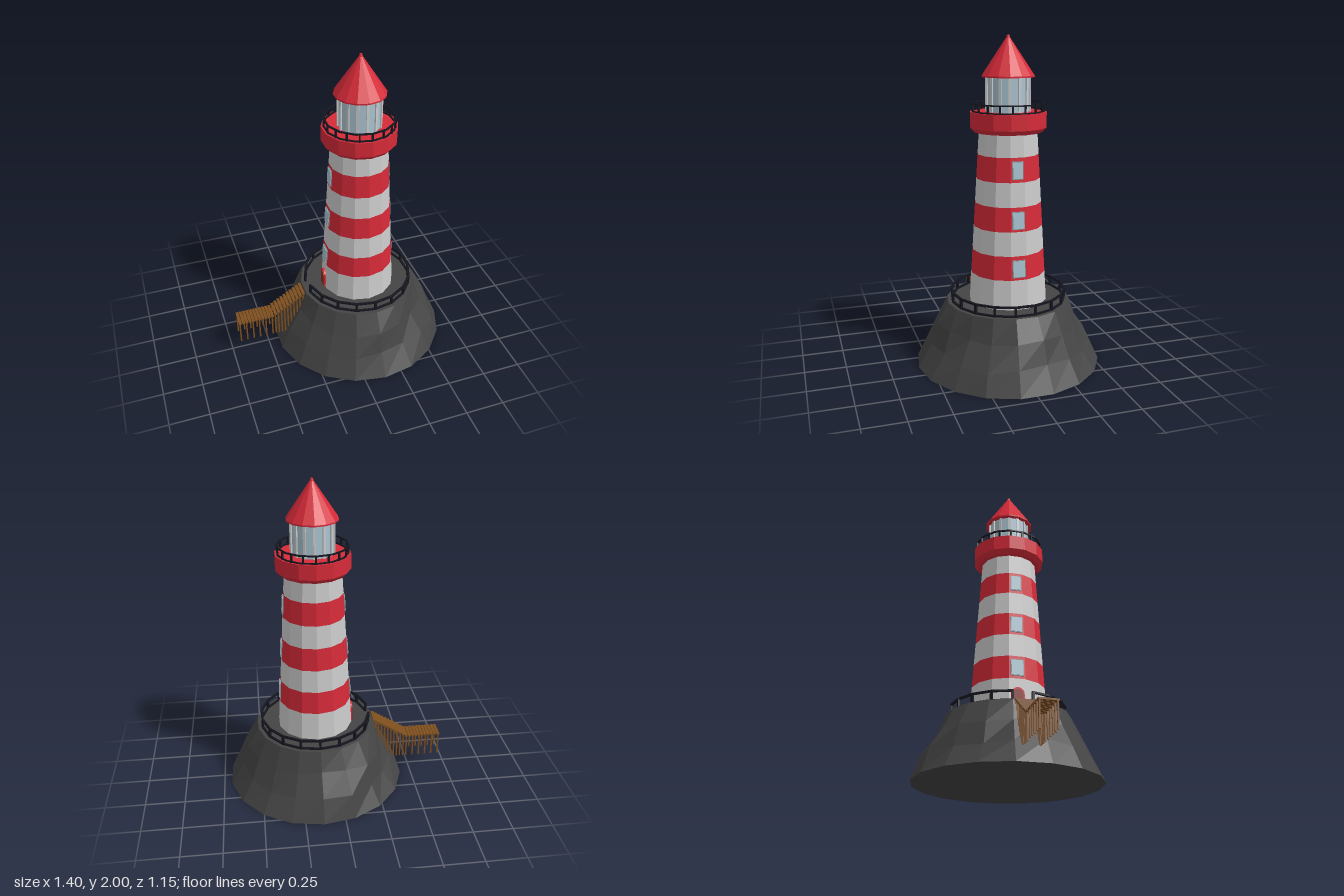
import * as THREE from 'three';

const mat = (color) => new THREE.MeshStandardMaterial({ color, flatShading: true });

export function createModel() {
  const model = new THREE.Group();
  const M = {
    grey: mat(0xcccccc), red: mat(0xd62a38), rock: mat(0x444444), wood: mat(0x80501f),
    rail: mat(0x15151f), glass: mat(0xa9c4d2), frame: mat(0x8b979e), door: mat(0x8a2f22),
  };
  const add = (parent, name, geo, material, x = 0, y = 0, z = 0) => {
    const m = new THREE.Mesh(geo, material);
    m.name = name;
    m.position.set(x, y, z);
    parent.add(m);
    return m;
  };
  const box = (w, h, d) => new THREE.BoxGeometry(w, h, d);
  const group = (name, parent) => {
    const g = new THREE.Group();
    g.name = name;
    parent.add(g);
    return g;
  };

  // Everything but the jetty stands around the tower axis
  const island = group('lighthouse', model);
  island.position.x = 0.135;

  // Rock: an 18-sided cone whose middle rings are roughened
  const rockGeo = new THREE.CylinderGeometry(0.38, 0.573, 0.4, 18, 3);
  const p = rockGeo.attributes.position;
  for (let i = 0; i < p.count; i++) {
    const y = p.getY(i);
    if (Math.abs(y) > 0.19) continue;
    const a = Math.atan2(p.getX(i), p.getZ(i));
    const upper = y > 0;
    const k = 1 + 0.035 * Math.sin(3 * a + (upper ? 2.6 : 4.2)) + 0.02 * Math.sin(5 * a + (upper ? 1 : 3));
    p.setXYZ(i, p.getX(i) * k * 0.985, y + 0.014 * Math.sin(4 * a + 1), p.getZ(i) * k * 0.985);
  }
  add(island, 'rock', rockGeo, M.rock, 0, 0.2, 0);

  // Tapering tower of seven stripes
  const radiusAt = (y) => 0.24 - (y - 0.4) * 0.061;
  const tower = group('tower', island);
  for (let i = 0; i < 7; i++) {
    const y0 = i ? 0.435 + i * 0.1457 : 0.39;
    const y1 = 0.435 + (i + 1) * 0.1457;
    add(tower, i % 2 ? 'redStripe' : 'greyStripe',
      new THREE.CylinderGeometry(radiusAt(y1), radiusAt(y0), y1 - y0, 14, 1, true),
      i % 2 ? M.red : M.grey, 0, (y0 + y1) / 2, 0);
  }

  // Gallery with a bevelled lower edge
  const profile = (pts) => pts.map(([r, y]) => new THREE.Vector2(r, y));
  add(island, 'gallery', new THREE.LatheGeometry(
    profile([[0, 1.44], [0.205, 1.44], [0.23, 1.467], [0.23, 1.56], [0, 1.56]]), 14), M.red);

  // Railing of posts joined by straight bars; open leaves a gap on the -x side
  function railing(name, r, y, h, t, sides, open) {
    const g = group(name, island);
    const at = (i, n) => {
      const a = (i / n) * Math.PI * 2;
      return [Math.sin(a) * r, Math.cos(a) * r, a];
    };
    for (let i = 0; i < 18; i++) {
      const [x, z, a] = at(i, 18);
      add(g, 'post', box(t, h, t), M.rail, x, y + h / 2, z).rotation.y = a;
    }
    const len = 2 * r * Math.sin(Math.PI / sides) + t * 0.3;
    for (let i = 0; i < sides; i++) {
      const a = ((i + 0.5) / sides) * Math.PI * 2;
      if (open && Math.sin(a) < -0.99) continue;
      const c = r * Math.cos(Math.PI / sides);
      for (const by of [y + t * 0.3, y + h - t * 0.4])
        add(g, 'bar', box(len, t * 0.8, t), M.rail, Math.sin(a) * c, by, Math.cos(a) * c).rotation.y = a;
    }
  }
  railing('rockRailing', 0.35, 0.4, 0.065, 0.014, 18, true);
  railing('galleryRailing', 0.213, 1.56, 0.052, 0.01, 14, false);

  // Lantern room with glass and mullions
  const lantern = group('lantern', island);
  add(lantern, 'glass', new THREE.CylinderGeometry(0.128, 0.128, 0.21, 14), M.glass, 0, 1.662, 0);
  for (let i = 0; i < 14; i++) {
    const a = (i / 14) * Math.PI * 2;
    add(lantern, 'mullion', box(0.016, 0.21, 0.014), M.grey,
      Math.sin(a) * 0.128, 1.662, Math.cos(a) * 0.128).rotation.y = a;
  }

  // Conical roof with a small tip
  add(island, 'roof', new THREE.LatheGeometry(
    profile([[0, 1.76], [0.157, 1.76], [0.157, 1.769], [0.012, 1.985], [0.008, 2], [0, 2]]), 14), M.red);

  // Windows on both the +x and -x faces, leaning with the wall
  for (const side of [1, -1]) {
    [[0.65, 0.075], [0.94, 0.071], [1.235, 0.062]].forEach(([y, w]) => {
      const win = group('window', island);
      win.position.set(side * radiusAt(y) * 0.975, y, 0);
      win.rotation.z = side * 0.06;
      add(win, 'windowFrame', box(0.012, 0.106, w + 0.006), M.frame);
      add(win, 'windowPane', box(0.018, 0.096, w - 0.004), M.glass);
    });
  }

  // Arched door with a red surround, facing the steps
  const arch = (w, h, depth) => {
    const s = new THREE.Shape();
    s.moveTo(-w, 0);
    s.lineTo(w, 0);
    s.lineTo(w, h - w);
    s.absarc(0, h - w, w, 0, Math.PI, false);
    s.closePath();
    return new THREE.ExtrudeGeometry(s, { depth, bevelEnabled: false, curveSegments: 5 });
  };
  const door = group('door', island);
  door.position.set(-0.222, 0.4, 0);
  door.rotation.y = -Math.PI / 2;
  add(door, 'doorSurround', arch(0.04, 0.122, 0.018), M.red);
  add(door, 'doorLeaf', arch(0.031, 0.11, 0.022), M.door);

  // Jetty and steps: planks on pairs of posts
  const jetty = group('jetty', model);
  for (let i = 0; i < 21; i++) {
    const x = -0.69 + i * 0.0217;
    const step = Math.max(0, i - 10);
    const top = 0.26 + step * 0.0137;
    add(jetty, 'plank', box(0.0185, 0.01, 0.115), M.wood, x, top - 0.005, -0.002);
    if (step === 0 && i % 2) continue;
    for (const z of [-0.05, 0.046])
      add(jetty, 'jettyPost', box(0.009, top - 0.11, 0.009), M.wood, x - 0.003, (top + 0.09) / 2, z);
  }
  return model;
}
